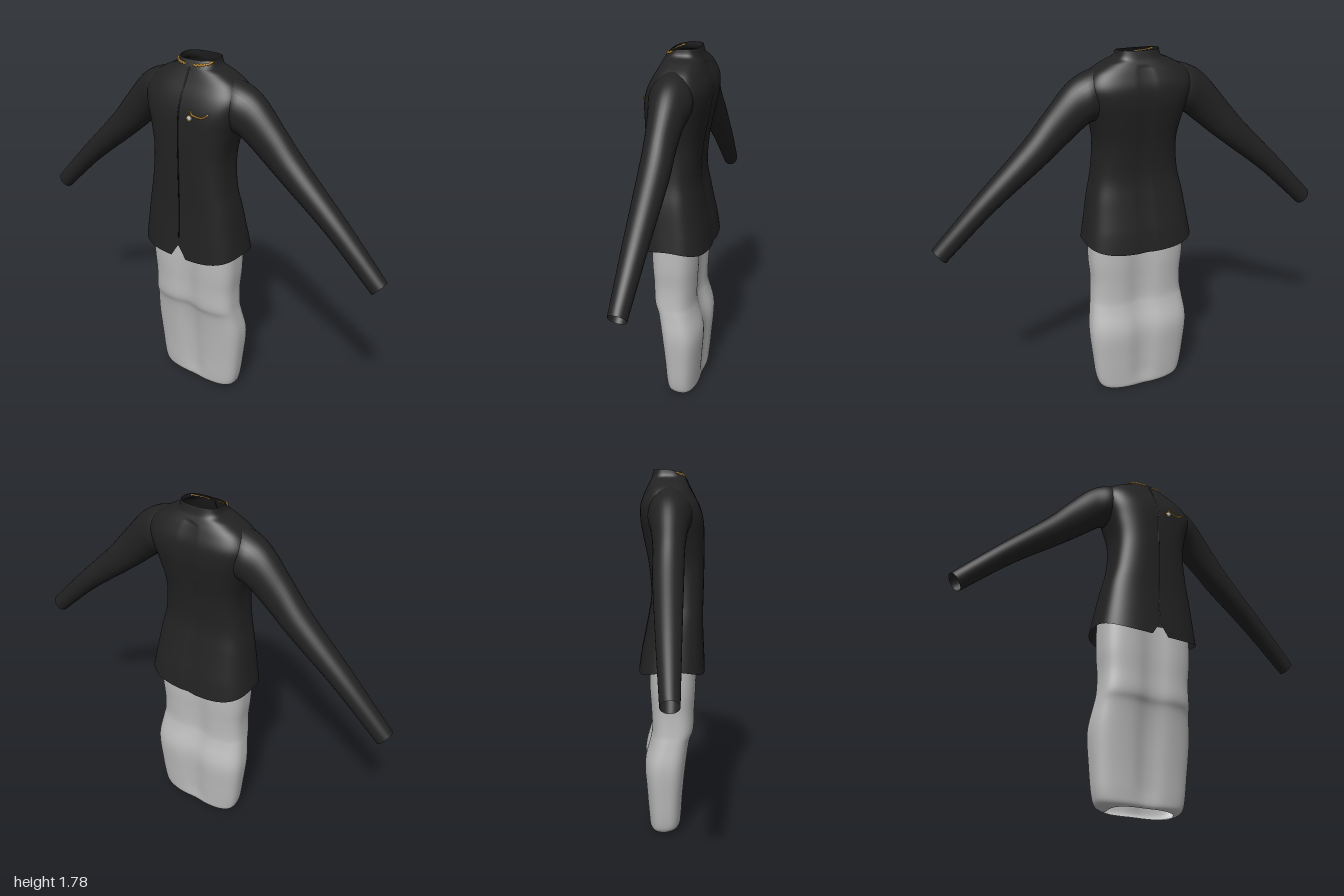
import * as THREE from 'three';

const mat = (name, color) => new THREE.MeshStandardMaterial({ name, color, side: THREE.DoubleSide });
const SEG = 96;

// Catmull-Rom refinement of a table of rows
function refine(rows, steps) {
  const out = [], last = rows.length - 1;
  for (let i = 0; i < last; i++) {
    const [a, b, c, d] = [i - 1, i, i + 1, i + 2].map(k => rows[Math.min(last, Math.max(0, k))]);
    for (let s = 0; s < steps; s++) {
      const t = s / steps;
      out.push(b.map((_, k) => 0.5 * (2 * b[k] + (c[k] - a[k]) * t
        + (2 * a[k] - 5 * b[k] + 4 * c[k] - d[k]) * t * t
        + (3 * b[k] - a[k] - 3 * c[k] + d[k]) * t * t * t)));
    }
  }
  out.push(rows[last]);
  return out;
}

// Skin closed rings of points with smooth normals
function loft(rings) {
  const n = rings[0].length, pos = [], idx = [];
  rings.forEach(r => r.forEach(p => pos.push(p[0], p[1], p[2])));
  for (let i = 0; i < rings.length - 1; i++) {
    for (let j = 0; j < n; j++) {
      const a = i * n + j, b = i * n + (j + 1) % n;
      idx.push(a, b, a + n, b, b + n, a + n);
    }
  }
  const g = new THREE.BufferGeometry();
  g.setAttribute('position', new THREE.Float32BufferAttribute(pos, 3));
  g.setIndex(idx);
  g.computeVertexNormals();
  return g;
}

// Rounded-box ring from a row [y, half width, front z, back z]
function bodyRing([y, w, front, back], adjust) {
  const ring = [], cz = (front + back) / 2, rz = (front - back) / 2;
  const pw = v => Math.sign(v) * Math.pow(Math.abs(v), 2 / 3);
  for (let j = 0; j < SEG; j++) {
    const a = j / SEG * Math.PI * 2, u = pw(Math.sin(a)), v = pw(Math.cos(a));
    const p = [w * u, y, cz + rz * v];
    adjust(p, v, j, rz);
    ring.push(p);
  }
  return ring;
}

const JACKET = refine([
  [0.865, 0.275, 0.163, -0.163], [0.95, 0.26, 0.157, -0.143], [1.08, 0.238, 0.152, -0.117],
  [1.2, 0.212, 0.154, -0.1], [1.35, 0.2, 0.156, -0.112], [1.47, 0.222, 0.155, -0.135],
  [1.56, 0.25, 0.149, -0.15], [1.63, 0.26, 0.127, -0.148], [1.69, 0.225, 0.094, -0.125],
  [1.73, 0.16, 0.074, -0.105], [1.752, 0.108, 0.064, -0.095], [1.785, 0.097, 0.045, -0.086],
], 5);

const TROUSERS = refine([
  [0.0, 0.17, 0.036, -0.1], [0.02, 0.215, 0.046, -0.115], [0.07, 0.235, 0.05, -0.12],
  [0.2, 0.25, 0.058, -0.13], [0.36, 0.262, 0.074, -0.139], [0.48, 0.248, 0.092, -0.112],
  [0.54, 0.24, 0.112, -0.104], [0.64, 0.236, 0.116, -0.108], [0.75, 0.244, 0.122, -0.115],
  [0.9, 0.245, 0.125, -0.117],
], 5);

// Point on the front of the jacket, lifted slightly off the cloth
function onFront(x, y, lift = 0.003) {
  let i = JACKET.findIndex(r => r[0] >= y);
  i = Math.max(1, i);
  const a = JACKET[i - 1], b = JACKET[i], t = (y - a[0]) / (b[0] - a[0]);
  const [w, f, k] = [1, 2, 3].map(c => a[c] + (b[c] - a[c]) * t);
  const z = (f + k) / 2 + (f - k) / 2 * Math.cbrt(Math.max(0, 1 - Math.abs(x / w) ** 3));
  return new THREE.Vector3(x, y, z + lift);
}

export function createModel() {
  const model = new THREE.Group();
  const black = mat('blackCloth', 0x222222), seamBlack = mat('seamBlack', 0x0e0e0e);
  const grey = mat('greyCloth', 0xbcbcbc), gold = mat('gold', 0xd09a3a), silver = mat('silver', 0xc4ccd0);
  const add = (name, geo, material, parent = model) => {
    const m = new THREE.Mesh(geo, material);
    m.name = name;
    parent.add(m);
    return m;
  };
  const cord = (name, pts, r, material) =>
    add(name, new THREE.TubeGeometry(new THREE.CatmullRomCurve3(pts), 40, r, 5), material);

  // Jacket body: hem dips front and back, small vent at centre front, crease down the back
  add('jacketBody', loft(JACKET.map((row, i) => bodyRing(row, (p, v, j) => {
    const fade = Math.max(0, 1 - i / 4);
    p[1] -= 0.042 * v * v * fade;
    if (i === 0 && j === 0) p[1] += 0.07;
    if (i === 1 && j === 0) p[1] += 0.045;
    if (i === 2 && j === 0) p[1] += 0.025;
    if (j === SEG / 2 && row[0] < 1.72) p[2] += 0.006;
    if (row[0] > 1.752) p[1] -= 0.01 * Math.max(0, v) * (row[0] - 1.752) / 0.033;
  }))), black);

  // Sleeves: rows are upper x, y, lower x, y, then centre and half depth in z
  const sleeveRows = refine([
    [0.17, 1.715, 0.17, 1.46, -0.01, 0.09], [0.25, 1.695, 0.23, 1.468, -0.012, 0.1],
    [0.335, 1.645, 0.285, 1.43, -0.015, 0.083], [0.44, 1.53, 0.37, 1.36, -0.018, 0.07],
    [0.556, 1.397, 0.475, 1.278, -0.022, 0.067], [0.786, 1.17, 0.705, 1.1, -0.022, 0.054],
    [0.995, 0.955, 0.94, 0.885, -0.02, 0.04],
  ], 6);
  for (const s of [1, -1]) {
    const rings = sleeveRows.map(([ux, uy, lx, ly, cz, rz]) => {
      const ring = [];
      for (let j = 0; j < 32; j++) {
        const a = j / 32 * Math.PI * 2, c = Math.cos(a) / 2;
        ring.push([s * ((ux + lx) / 2 + (ux - lx) * c), (uy + ly) / 2 + (uy - ly) * c,
          cz + s * rz * Math.sin(a)]);
      }
      return ring;
    });
    add(s > 0 ? 'leftSleeve' : 'rightSleeve', loft(rings), black);
  }

  // Trousers: two legs read as one broad form with a channel front and back
  add('trousers', loft(TROUSERS.map(row => bodyRing(row, (p, v, j, rz) => {
    const low = Math.max(0, 1 - p[1] / 0.1);
    const width = 0.05 + 0.03 * p[1];
    p[2] -= 0.22 * (1 - low * 0.7) * rz * v * Math.exp(-((p[0] / width) ** 2));
    p[1] += 0.018 * Math.max(0, v) * low;
  }))), grey);

  // Front closure seam
  const seam = [];
  for (let i = 0; i <= 12; i++) seam.push(onFront(0, 0.93 + i * 0.068, 0));
  cord('frontSeam', seam, 0.003, seamBlack);

  // Gold braid on both collar fronts
  for (const s of [1, -1]) {
    const braid = [];
    for (let i = 0; i <= 14; i++) {
      const t = i / 14, x = s * (0.02 + 0.075 * t);
      braid.push(onFront(x, 1.757 + 0.013 * t * t + 0.003 * Math.sin(i * 2), 0.002));
    }
    cord(s > 0 ? 'leftCollarBraid' : 'rightCollarBraid', braid, 0.0048, gold);
  }

  // Chest brooch with draped chain
  cord('broochChain', [[0.068, 1.578], [0.075, 1.565], [0.1, 1.558], [0.13, 1.557], [0.148, 1.568], [0.157, 1.578]]
    .map(([x, y]) => onFront(x, y)), 0.004, gold);
  const jewel = add('broochJewel', new THREE.SphereGeometry(0.012, 16, 10), silver);
  jewel.position.copy(onFront(0.065, 1.547));
  jewel.scale.z = 0.5;
  const rim = add('broochRim', new THREE.TorusGeometry(0.012, 0.0025, 6, 20), gold);
  rim.position.copy(jewel.position);

  return model;
}
